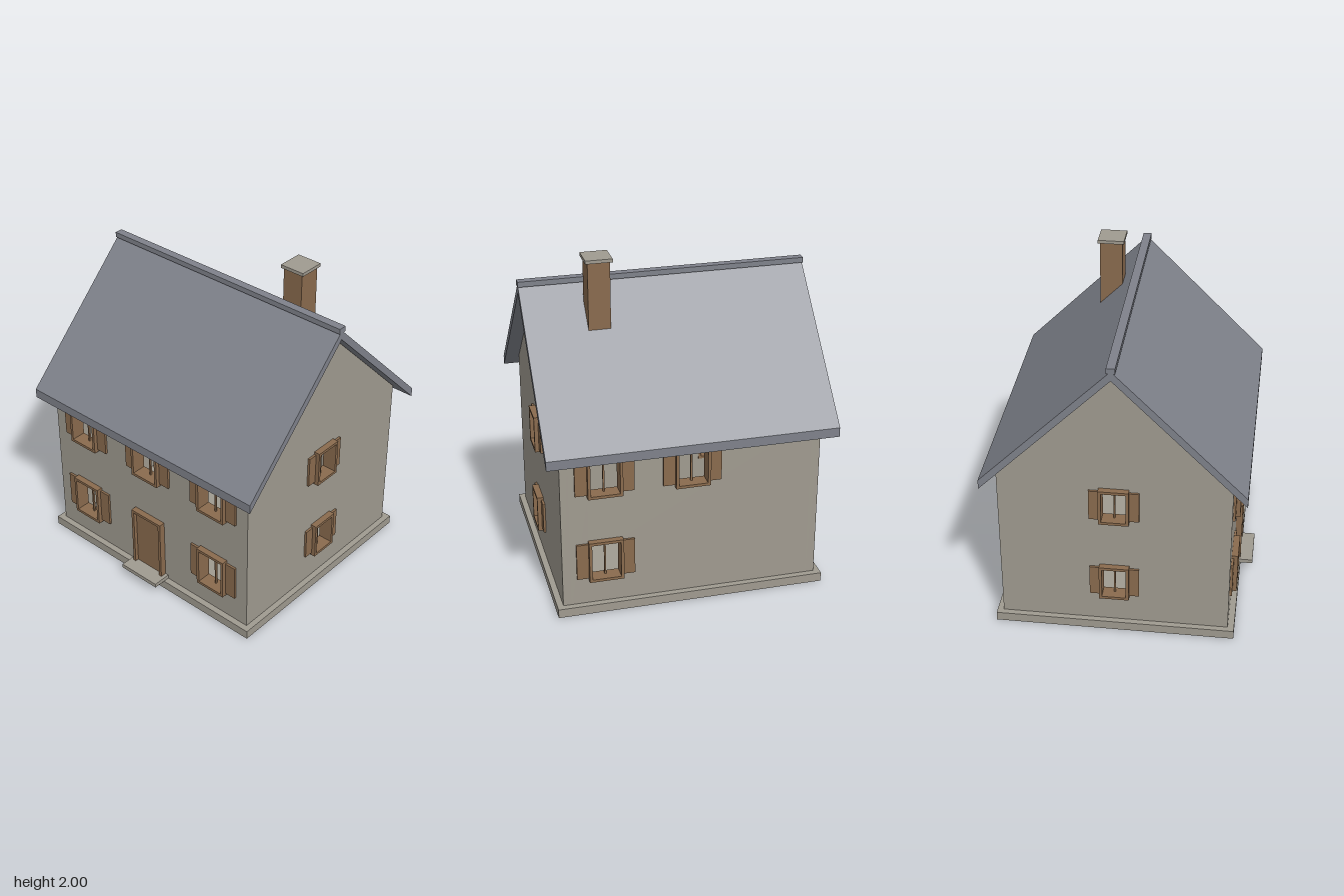
import * as THREE from 'three';

const mat = (name, color) => {
  const m = new THREE.MeshStandardMaterial({ color });
  m.name = name;
  return m;
};

export function createModel() {
  const plaster = mat('plaster', 0xa09b90);
  const slate = mat('slate', 0x7f828b);
  const wood = mat('wood', 0x8a6b4e);

  const model = new THREE.Group();
  model.name = 'house';
  const house = new THREE.Group();
  house.name = 'building';
  house.position.z = -0.013;
  model.add(house);

  const HX = 0.77, HZ = 0.675, T = 0.05, BASE = 0.055, APEX = 1.75, EAVE = 1.075;

  function add(parent, name, geo, material, x = 0, y = 0, z = 0) {
    const m = new THREE.Mesh(geo, material);
    m.name = name;
    m.position.set(x, y, z);
    parent.add(m);
    return m;
  }
  const box = (parent, name, material, w, h, d, x, y, z) =>
    add(parent, name, new THREE.BoxGeometry(w, h, d), material, x, y, z);

  const polygon = (pts) => new THREE.Shape(pts.map((p) => new THREE.Vector2(p[0], p[1])));
  const rect = (x, y, w, h) => polygon([
    [x - w / 2, y - h / 2], [x + w / 2, y - h / 2], [x + w / 2, y + h / 2], [x - w / 2, y + h / 2],
  ]);
  const extrude = (shape, depth) => new THREE.ExtrudeGeometry(shape, { depth, bevelEnabled: false });

  // Window: deep frame, centre bar and a pair of open shutters
  function addWindow(parent, { x, y, w, h, shutter }) {
    const g = new THREE.Group();
    g.name = 'window';
    g.position.set(x, y, 0);
    parent.add(g);
    const b = 0.017;
    const frame = rect(0, 0, w, h);
    frame.holes.push(rect(0, 0, w - 2 * b, h - 2 * b));
    add(g, 'windowFrame', extrude(frame, T + 0.04), wood, 0, 0, -T - 0.002);
    box(g, 'windowBar', wood, 0.01, h - 2 * b, 0.012, 0, 0, -0.02);
    for (const s of [-1, 1]) {
      box(g, 'shutter', wood, shutter, h - 2 * b, 0.014, s * (w + shutter) / 2, 0, 0.007);
    }
  }

  // Wall panel whose outer face lies at local z = 0, pierced for its windows
  function addWall(name, outline, windows, x, z, angle) {
    const g = new THREE.Group();
    g.name = name;
    g.position.set(x, 0, z);
    g.rotation.y = angle;
    house.add(g);
    const shape = polygon(outline);
    for (const o of windows) shape.holes.push(rect(o.x, o.y, o.w - 0.008, o.h - 0.008));
    add(g, name + 'Panel', extrude(shape, T), plaster, 0, 0, -T);
    windows.forEach((o) => addWindow(g, o));
    return g;
  }

  const LOW = 0.339, HIGH = 0.884, SIDE = 0.514;
  const big = (x, y) => ({ x, y, w: 0.204, h: 0.26, shutter: 0.07 });
  const small = (y) => ({ x: 0, y, w: 0.176, h: 0.228, shutter: 0.058 });

  // Walls
  const lx = HX - T;
  const longOutline = [[-lx, BASE], [lx, BASE], [lx, EAVE], [-lx, EAVE]];
  const gableOutline = [[-HZ, BASE], [HZ, BASE], [HZ, EAVE], [0, APEX], [-HZ, EAVE]];
  const front = addWall('frontWall', longOutline,
    [big(-SIDE, LOW), big(SIDE, LOW), big(-SIDE, HIGH), big(0, HIGH), big(SIDE, HIGH)], 0, HZ, 0);
  addWall('backWall', longOutline,
    [big(-SIDE, LOW), big(-SIDE, HIGH), big(0, HIGH)], 0, -HZ, Math.PI);
  for (const s of [-1, 1]) {
    addWall(s > 0 ? 'leftGable' : 'rightGable', gableOutline,
      [small(LOW + 0.004), small(HIGH)], s * HX, 0, s * Math.PI / 2);
  }

  // Foundation and doorstep
  box(house, 'foundation', plaster, 1.612, BASE, 1.426, 0, BASE / 2, 0);
  box(front, 'doorstep', plaster, 0.28, 0.025, 0.115, 0, BASE + 0.0125, 0.0565);

  // Door with its surround
  const surround = polygon([
    [-0.118, 0.08], [-0.1, 0.08], [-0.1, 0.46], [0.1, 0.46],
    [0.1, 0.08], [0.118, 0.08], [0.118, 0.477], [-0.118, 0.477],
  ]);
  add(front, 'doorFrame', extrude(surround, 0.038), wood);
  box(front, 'door', wood, 0.2, 0.38, 0.015, 0, 0.27, 0.0075);

  // Roof slabs, cut upright at the eaves
  const E = 0.76, TOP = 1.81, TH = 0.057, RX = 0.855;
  const chevron = polygon([
    [-E, TOP - E - TH], [0, TOP - TH], [E, TOP - E - TH], [E, TOP - E], [0, TOP], [-E, TOP - E],
  ]);
  add(house, 'roof', extrude(chevron, 2 * RX), slate, -RX, 0, 0).rotation.y = Math.PI / 2;
  box(house, 'ridgeCap', slate, 1.716, 0.032, 0.05, 0, 1.814, 0);

  // Chimney
  box(house, 'chimney', wood, 0.13, 0.46, 0.136, 0.428, 1.75, -0.163);
  box(house, 'chimneyCap', plaster, 0.158, 0.02, 0.158, 0.428, 1.99, -0.163);

  return model;
}
